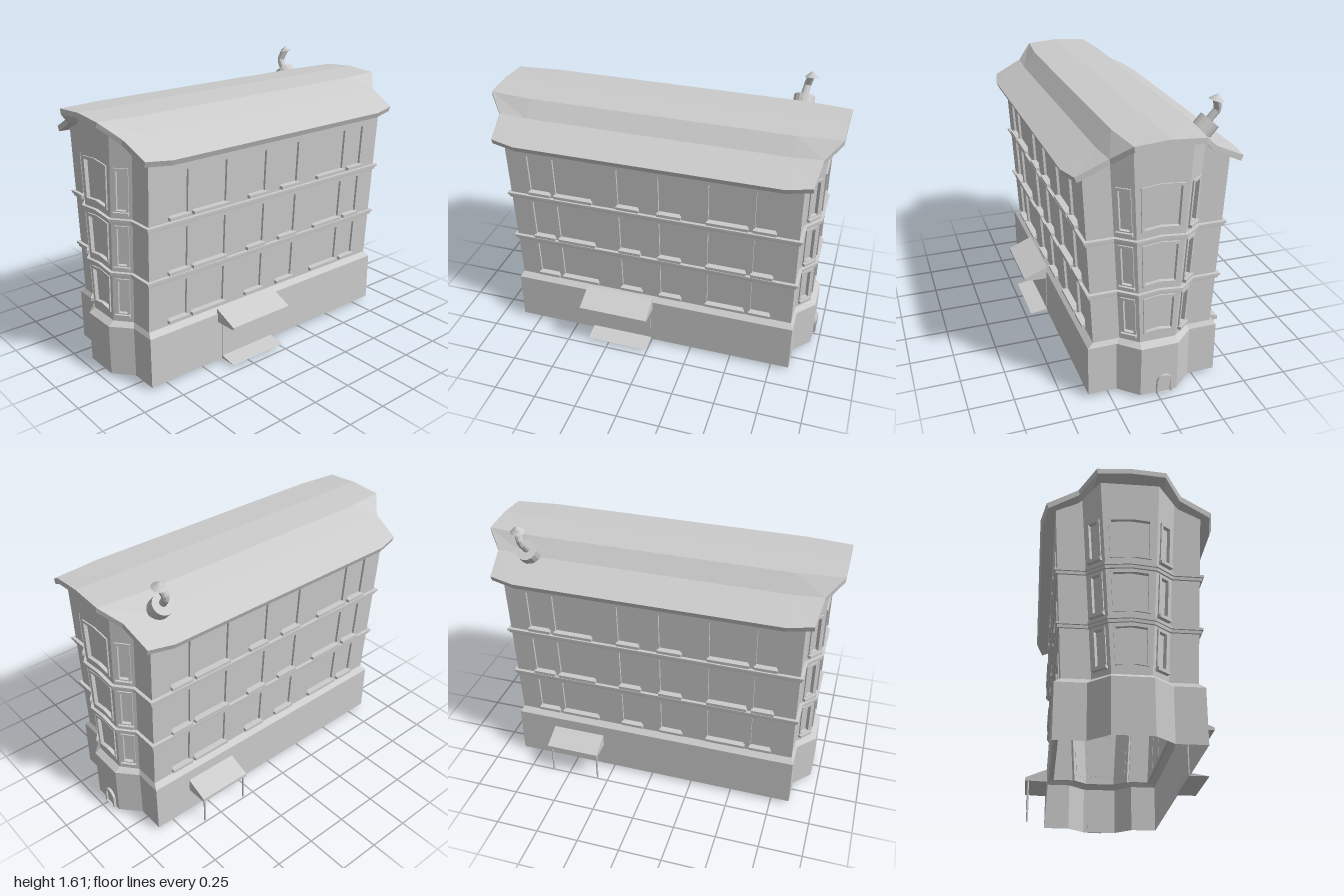
import * as THREE from 'three';

const mat = new THREE.MeshStandardMaterial({ color: 0xcccccc, flatShading: true, side: THREE.DoubleSide });
const V = (x, y, z) => new THREE.Vector3(x, y, z);
const lerp = THREE.MathUtils.lerp;

// Half of one end of the plan: bay corner, inner corner, outer corner.
// x0 at y = 0.34, x1 at y = 1.3, fixed z, top under the roof, base x and z
const CORNERS = [
  { x0: 0.10, x1: 0.15, z: 0.92, top: 1.46, bx: 0.105, bz: 0.955 },
  { x0: 0.19, x1: 0.245, z: 0.845, top: 1.4, bx: 0.21, bz: 0.86 },
  { x0: 0.338, x1: 0.39, z: 0.845, top: 1.325, bx: 0.37, bz: 0.86 },
];
// Twelve corners around the plan, starting at the front left bay corner
const PLAN = [[1, 1, 0], [1, -1, 1], [-1, -1, 0], [-1, 1, 1]].flatMap(([sx, sz, rev]) =>
  (rev ? [...CORNERS].reverse() : CORNERS).map(c => ({ ...c, sx, sz })));
const KINDS = ['slant', 'shoulder', 'side', 'shoulder', 'slant', 'bay'];

const corner = (i, y) => {
  const c = PLAN[(i + 12) % 12];
  return V(c.sx * lerp(c.x0, c.x1, (y - 0.34) / 0.96), y, c.sz * c.z);
};
const outward = (a, b) => V(a.z - b.z, 0, b.x - a.x).normalize();

// Plan outline at height y, pushed out by off, with a raised middle on each bay
function outline(y, off, bump) {
  const pts = [];
  for (let i = 0; i < 12; i++) {
    const p = corner(i, y);
    const n0 = outward(corner(i - 1, y), p), n1 = outward(p, corner(i + 1, y));
    const m = n0.clone().add(n1);
    pts.push(p.addScaledVector(m, off / (1 + n0.dot(n1))));
  }
  const mid = (a, b) => a.clone().lerp(b, 0.5).add(V(0, bump, 0));
  return [...pts.slice(0, 6), mid(pts[5], pts[6]), ...pts.slice(6), mid(pts[11], pts[0])];
}

function loft(rings, closed = true) {
  const out = [];
  for (let r = 0; r + 1 < rings.length; r++) {
    const n = rings[r].length;
    for (let i = 0; i < (closed ? n : n - 1); i++) {
      const j = (i + 1) % n, [a, b, c, d] = [rings[r][i], rings[r][j], rings[r + 1][j], rings[r + 1][i]];
      for (const p of [a, b, c, a, c, d]) out.push(p.x, p.y, p.z);
    }
  }
  const g = new THREE.BufferGeometry();
  g.setAttribute('position', new THREE.Float32BufferAttribute(out, 3));
  g.computeVertexNormals();
  return g;
}

// Bends a geometry drawn as (u across, y, depth) onto wall i
function ontoWall(geo, i) {
  const p = geo.attributes.position;
  for (let k = 0; k < p.count; k++) {
    const u = p.getX(k), y = p.getY(k), a = corner(i, y), b = corner(i + 1, y);
    const q = a.clone().lerp(b, u).addScaledVector(outward(a, b), p.getZ(k));
    if (KINDS[i % 6] === 'bay') q.y += 0.015 * (1 - Math.abs(2 * u - 1));
    p.setXYZ(k, q.x, q.y, q.z);
  }
  geo.computeVertexNormals();
  return geo;
}
const slab = (u0, u1, y0, y1, w0, w1) =>
  new THREE.BoxGeometry(u1 - u0, y1 - y0, w1 - w0, 2, 1, 1).translate((u0 + u1) / 2, (y0 + y1) / 2, (w0 + w1) / 2);

const extrude = (shape, depth, z = 0) =>
  new THREE.ExtrudeGeometry(shape, { depth, bevelEnabled: false, curveSegments: 8 }).translate(0, 0, z);
const poly = pts => pts.map(([x, y]) => new THREE.Vector2(x, y));
const windowPath = (u0, u1, y0, y1) => {
  const m = (u0 + u1) / 2;
  return poly([[u0, y0], [m, y0], [u1, y0], [u1, y1], [m, y1], [u0, y1]]);
};

export function createModel() {
  const model = new THREE.Group();
  model.name = 'building';
  const body = new THREE.Group();
  body.name = 'body';
  body.position.x = -0.005;
  model.add(body);
  const add = (name, geo) => {
    const m = new THREE.Mesh(geo, mat);
    m.name = name;
    body.add(m);
    return m;
  };

  // Base with sloped ledge, open underneath
  const baseRing = y => PLAN.map(c => V(c.sx * c.bx, y, c.sz * c.bz));
  add('base', loft([baseRing(0.02), baseRing(0.315), PLAN.map((c, i) => corner(i, 0.34))]));

  // Walls with recessed windows, sills and bay frames
  const floors = [[0.37, 0.59], [0.66, 0.9], [0.975, 1.22]];
  const sideSpans = [[0.72, 0.6], [0.565, 0.345], [0.185, 0.065], [-0.055, -0.18], [-0.34, -0.56], [-0.6, -0.715]]
    .map(s => s.map(z => (0.845 - z) / 1.69));
  const spans = { side: sideSpans, shoulder: [], slant: [[0.17, 0.83]], bay: [[0.1, 0.9]] };
  PLAN.forEach((c, i) => {
    const kind = KINDS[i % 6], next = PLAN[(i + 1) % 12], lift = kind === 'side' ? 0 : 0.012;
    const wall = new THREE.Shape(poly([[0, 0.34], [1, 0.34], [1, next.top], [0, c.top]]));
    for (const [u0, u1] of spans[kind]) for (const [f0, f1] of floors) {
      const y0 = f0 + lift, y1 = f1 + lift;
      wall.holes.push(new THREE.Path(windowPath(u0, u1, y0, y1)));
      add('windowPane', ontoWall(slab(u0, u1, y0, y1, -0.022, -0.014), i));
      const e = kind === 'side' ? 0.004 : 0.03;
      if (kind !== 'bay') add('windowSill', ontoWall(slab(u0 - e, u1 + e, y0 - 0.012, y0 + 0.006, -0.014, 0.022), i));
      if (kind !== 'side') {
        const du = kind === 'bay' ? 0.045 : 0.11;
        const frame = new THREE.Shape(windowPath(u0, u1, y0, y1));
        frame.holes.push(new THREE.Path(windowPath(u0 + du, u1 - du, y0 + 0.012, y1 - 0.015)));
        add('windowFrame', ontoWall(extrude(frame, 0.022, -0.014), i));
      }
    }
    add(kind + 'Wall', ontoWall(extrude(wall, 0.02, -0.02), i));
  });

  // Stepped bands between the floors
  for (const y of [0.612, 0.922]) {
    const profile = [[0, -0.002], [0, 0.01], [0.016, 0.011], [0.017, 0.018], [0.03, 0.018], [0.031, -0.002]];
    add('floorBand', loft(profile.map(([dy, off]) => outline(y + dy, off, 0.012))));
  }

  // Roof: bent shell whose ends sweep out towards the ridge
  const mirrorX = half => [...half, ...half.slice(0, -1).reverse().map(p => V(-p.x, p.y, p.z))];
  const mid = [[0.47, 1.314], [0.285, 1.4], [0.21, 1.487], [0, 1.5]];
  const end = [[0.44, 1.325, 0.893], [0.275, 1.405, 0.915], [0.185, 1.487, 1], [0, 1.5, 1]];
  const top = s => mirrorX(Math.abs(s) === 2
    ? end.map(([x, y, z]) => V(x, y, z * Math.sign(s)))
    : mid.map(([x, y]) => V(x, y, 0.75 * s)));
  const under = s => top(s).map(p => V(p.x * 0.975, p.y - 0.03, p.z));
  const stations = [-2, -1, 1, 2];
  add('roof', loft(stations.map(s => [...top(s), ...under(s).reverse()])));
  add('roofEdge', loft([under(2).reverse(), top(2).reverse()], false));
  add('roofEdge', loft([under(-2), top(-2)], false));

  // Leaning chimney: collar, bent pipe and pointed cap
  const collar = add('chimneyCollar', new THREE.CylinderGeometry(0.06, 0.06, 0.1, 16));
  collar.position.set(-0.298, 1.425, -0.715);
  collar.rotation.z = 0.74;
  const bend = new THREE.CurvePath(), stops = [V(-0.315, 1.45, -0.71), V(-0.37, 1.52, -0.722), V(-0.35, 1.585, -0.742)];
  bend.add(new THREE.LineCurve3(stops[0], stops[1]));
  bend.add(new THREE.LineCurve3(stops[1], stops[2]));
  add('chimneyPipe', new THREE.TubeGeometry(bend, 8, 0.021, 10));
  const cap = add('chimneyCap', new THREE.ConeGeometry(0.041, 0.035, 10));
  cap.position.set(-0.35, 1.593, -0.745);
  cap.rotation.z = 0.25;

  // Entrance on the left side: canopy, door and sloped step
  const wedge = (name, pts, z0, z1) => add(name, extrude(new THREE.Shape(poly(pts)), z1 - z0, z0));
  wedge('entranceCanopy', [[0.365, 0.265], [0.51, 0.27], [0.51, 0.285], [0.365, 0.345]], -0.013, 0.405);
  wedge('entranceStep', [[0.365, 0.02], [0.475, 0.02], [0.365, 0.038]], 0, 0.375);
  add('entranceDoor', new THREE.BoxGeometry(0.01, 0.23, 0.375)).position.set(0.368, 0.15, 0.1875);

  // Side canopy on two posts
  wedge('sideCanopy', [[-0.365, 0.17], [-0.5, 0.175], [-0.5, 0.195], [-0.365, 0.25]], -0.63, -0.31);
  for (const z of [-0.318, -0.61])
    add('canopyPost', new THREE.CylinderGeometry(0.006, 0.006, 0.175, 8)).position.set(-0.482, 0.0875, z);

  // Small arched door at the back
  const arch = r => {
    const s = new THREE.Shape();
    s.moveTo(-r, 0.02);
    s.lineTo(r, 0.02);
    s.lineTo(r, 0.085);
    s.absarc(0, 0.085, r, 0, Math.PI, false);
    s.closePath();
    return s;
  };
  const surround = arch(0.045);
  surround.holes.push(arch(0.033));
  for (const [name, geo] of [['archSurround', extrude(surround, 0.02, 0.95)], ['archDoor', extrude(arch(0.034), 0.01, 0.95)]]) {
    const m = add(name, geo);
    m.rotation.y = Math.PI;
    m.position.x = -0.03;
  }
  return model;
}
